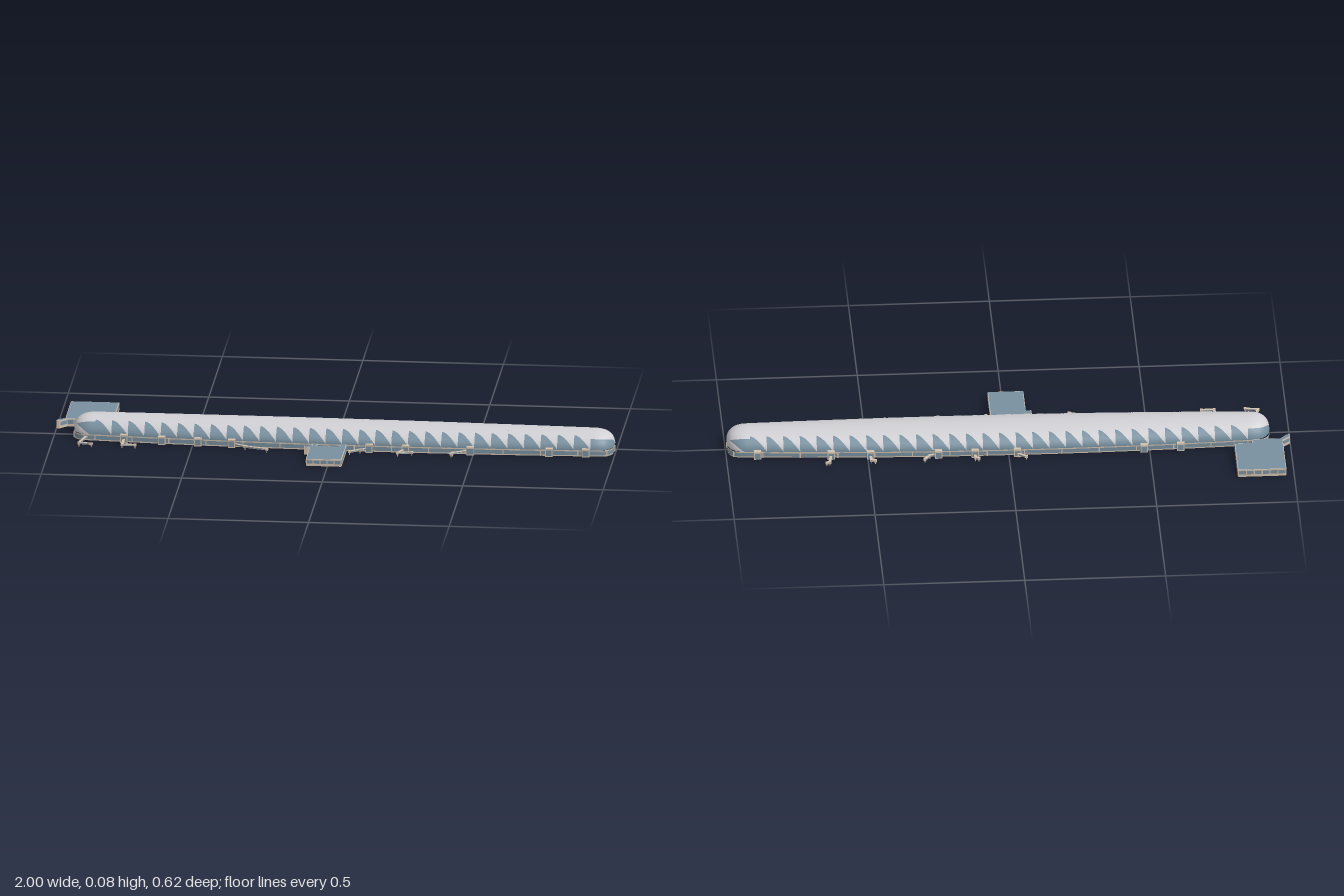
import * as THREE from 'three';
import { mergeGeometries } from 'three/addons/utils/BufferGeometryUtils.js';

const mat = (name, color, side = THREE.DoubleSide) => {
  const m = new THREE.MeshStandardMaterial({ color, side });
  m.name = name;
  return m;
};

// Hull dimensions
const XA = -0.85, XB = 0.915, CAP = 0.08, SILL = 0.022, RISE = 0.057;
const halfWidth = x => 0.077 + 0.03 * Math.max(0, 1 - ((x - 0.04) / 0.92) ** 2);
const axisZ = x => 0.004 + 0.0145 * x;

// v runs 0..1 along the body, below 0 and above 1 round the end caps; a is the arch angle
function hullPoint(v, a) {
  let x = XA + (XB - XA) * Math.min(1, Math.max(0, v)), s = 1;
  const w = halfWidth(x), z = axisZ(x);
  if (v < 0 || v > 1) {
    const t = Math.min(1, v < 0 ? -v : v - 1) * Math.PI / 2;
    s = Math.pow(Math.max(0, Math.cos(t)), 0.8);
    x += Math.sign(v) * CAP * Math.pow(Math.sin(t), 0.8);
  }
  return new THREE.Vector3(x, SILL + RISE * s * Math.sin(a), z + w * s * Math.cos(a));
}

function hullNormal(v, a) {
  const e = 0.004, lo = Math.max(-0.985, v - e), hi = Math.min(1.985, v + e);
  const vm = Math.min(1.98, Math.max(-0.98, v));
  const dv = hullPoint(Math.max(hi, lo + e), a).sub(hullPoint(lo, a));
  const da = hullPoint(vm, a + 0.01).sub(hullPoint(vm, a - 0.01));
  return da.cross(dv).normalize().negate();
}

// Strip of hull surface between two arch-angle curves
function patch(v0, v1, lo, hi, nu, na) {
  const pos = [], nor = [], idx = [];
  for (let i = 0; i <= nu; i++) {
    const u = i / nu, v = v0 + (v1 - v0) * u, a0 = lo(u), a1 = hi(u);
    for (let j = 0; j <= na; j++) {
      const a = a0 + (a1 - a0) * j / na;
      const n = hullNormal(v, a), p = hullPoint(v, a);
      if (n.dot(new THREE.Vector3(0, p.y - SILL + 0.001, p.z - axisZ(p.x))) < 0) n.negate();
      pos.push(...p.toArray());
      nor.push(...n.toArray());
      if (i < nu && j < na) {
        const k = i * (na + 1) + j, m = k + na + 1;
        idx.push(k, m, k + 1, k + 1, m, m + 1);
      }
    }
  }
  // wind outward: flip when the patch was traced backwards
  if (v1 > v0) for (let i = 0; i < idx.length; i += 3) [idx[i + 1], idx[i + 2]] = [idx[i + 2], idx[i + 1]];
  const g = new THREE.BufferGeometry();
  g.setAttribute('position', new THREE.Float32BufferAttribute(pos, 3));
  g.setAttribute('normal', new THREE.Float32BufferAttribute(nor, 3));
  g.setIndex(idx);
  const [A, B, C] = [idx[0], idx[1], idx[2]].map(k => new THREE.Vector3().fromArray(pos, k * 3));
  if (B.sub(A).cross(C.sub(A)).dot(new THREE.Vector3().fromArray(nor, idx[0] * 3)) < 0) g.setIndex(idx.slice().reverse());
  return g;
}

export function createModel() {
  const group = new THREE.Group();
  const shell = mat('roof shell', 0xd0d0d4), glass = mat('blue glass', 0x7890a0), trim = mat('beige trim', 0xd2c1ae);
  const add = (name, geos, material, parent = group) => {
    const m = new THREE.Mesh(geos.length ? mergeGeometries(geos) : geos, material);
    m.name = name;
    parent.add(m);
    return m;
  };
  const PI = Math.PI;

  // Hull body: saw-tooth windows along both sides, shell over the top
  const white = [], blue = [], TEETH = 30;
  const tooth = u => 0.04 + 0.9 * (1 - Math.pow(u, 1.6));
  for (let i = 0; i < TEETH; i++) {
    const v0 = i / TEETH, v1 = (i + 1) / TEETH;
    const front = tooth, back = u => PI - tooth(1 - u);
    blue.push(patch(v0, v1, () => 0, front, 7, 5), patch(v0, v1, back, () => PI, 7, 5));
    white.push(patch(v0, v1, front, back, 7, 14));
  }
  // End caps: one long window sweeps round the end, a short one points into it
  for (const [v0, v1, flip] of [[1, 2, false], [0, -1, true]]) {
    const band = (list, lo, hi, na) => list.push(flip
      ? patch(v0, v1, u => PI - hi(u), u => PI - lo(u), 20, na)
      : patch(v0, v1, lo, hi, 20, na));
    const sweep = u => 0.7 + 0.9 * u ** 3;
    const top = () => PI - 0.8, low = u => PI - 0.8 * Math.min(1, Math.max(0, (u - 0.1) / 0.55));
    band(blue, () => 0, sweep, 8);
    band(white, sweep, top, 12);
    band(blue, top, low, 5);
    band(white, low, () => PI, 5);
  }
  add('roofShell', white, shell);
  add('hullWindows', blue, glass);

  // Ground floor ring following the hull plan
  const plan = [];
  for (let i = 0; i <= 40; i++) {
    const x = XA + (XB - XA) * i / 40;
    plan.push([x, axisZ(x) + halfWidth(x)]);
  }
  const corner = (x, dir, from) => {
    for (let i = 1; i < 10; i++) {
      const t = from + (i / 10) * PI, s = Math.sin(t), c = Math.cos(t);
      plan.push([x + dir * CAP * Math.pow(Math.abs(c), 0.6), axisZ(x) + halfWidth(x) * Math.sign(s) * Math.pow(Math.abs(s), 0.6)]);
    }
  };
  corner(XB, 1, PI / 2);
  for (let i = 40; i >= 0; i--) {
    const x = XA + (XB - XA) * i / 40;
    plan.push([x, axisZ(x) - halfWidth(x)]);
  }
  corner(XA, -1, -PI / 2);
  const ribbon = (y0, y1, k) => {
    const pos = [], idx = [], n = plan.length;
    plan.forEach(([x, z], i) => {
      const zz = axisZ(x) + (z - axisZ(x)) * k, xx = 0.0325 + (x - 0.0325) * (1 + (k - 1) * 0.08);
      pos.push(xx, y0, zz, xx, y1, zz);
      const a = i * 2, b = ((i + 1) % n) * 2;
      idx.push(a, b, a + 1, a + 1, b, b + 1);
    });
    const g = new THREE.BufferGeometry();
    g.setAttribute('position', new THREE.Float32BufferAttribute(pos, 3));
    g.setIndex(idx);
    g.computeVertexNormals();
    return g;
  };
  add('groundFloorGlass', [ribbon(0.003, 0.02, 0.985)], glass);
  add('groundFloorBands', [ribbon(0, 0.004, 1), ribbon(0.018, 0.0225, 1)], trim);
  const posts = plan.filter((_, i) => i % 3 === 0).map(([x, z]) =>
    new THREE.BoxGeometry(0.004, 0.02, 0.004).translate(x, 0.01, axisZ(x) + (z - axisZ(x)) * 0.99));
  add('groundFloorPosts', posts, trim);

  // Box laid along a line on the ground plan
  const beam = ([x0, z0], [x1, z1], y, h, w) => new THREE.BoxGeometry(Math.hypot(x1 - x0, z1 - z0), h, w)
    .rotateY(-Math.atan2(z1 - z0, x1 - x0)).translate((x0 + x1) / 2, y, (z0 + z1) / 2);

  // Gate houses on both sides
  const houses = [], houseGlass = [];
  const gates = { 1: [-0.745, -0.61, -0.48, -0.36, 0.13, 0.26, 0.49, 0.77, 0.9], '-1': [-0.61, -0.48, -0.03, 0.12, 0.25, 0.49, 0.63, 0.89] };
  for (const side of [1, -1]) for (const x of gates[side]) {
    const z = axisZ(x) + side * (halfWidth(x) + 0.002);
    houses.push(new THREE.BoxGeometry(0.026, 0.03, 0.026).translate(x, 0.015, z));
    houseGlass.push(new THREE.BoxGeometry(0.028, 0.02, 0.02).translate(x, 0.014, z),
      new THREE.BoxGeometry(0.02, 0.02, 0.028).translate(x, 0.014, z));
  }
  add('gateHouses', houses, trim);
  add('gateHouseWindows', houseGlass, glass);

  // Bent boarding bridges on legs
  const bridges = [], bridgeGlass = [];
  for (const path of [
    [[-0.88, 0.065], [-0.9, 0.145], [-0.855, 0.153]], [[-0.745, 0.085], [-0.745, 0.153], [-0.7, 0.153]],
    [[-0.36, 0.1], [-0.31, 0.135], [-0.23, 0.16]], [[0.13, 0.115], [0.1, 0.135], [0.065, 0.162]],
    [[0.26, 0.11], [0.235, 0.163], [0.285, 0.15]], [[0.49, 0.105], [0.43, 0.143], [0.425, 0.158]],
    [[-0.02, -0.1], [-0.035, -0.12], [-0.06, -0.138]], [[0.12, -0.1], [0.12, -0.138], [0.108, -0.14]],
    [[0.25, -0.1], [0.28, -0.11], [0.3, -0.135]], [[0.49, -0.1], [0.49, -0.13], [0.475, -0.136]],
    [[0.63, -0.09], [0.637, -0.135], [0.648, -0.14]]]) {
    for (let i = 0; i < 2; i++) {
      bridges.push(beam(path[i], path[i + 1], 0.0125, 0.006, 0.009));
      bridgeGlass.push(beam(path[i], path[i + 1], 0.0125, 0.003, 0.0098));
      const [x, z] = path[i + 1];
      bridges.push(new THREE.BoxGeometry(0.01, 0.008, 0.01).translate(x, 0.0125, z),
        new THREE.BoxGeometry(0.003, 0.012, 0.003).translate(x, 0.006, z));
    }
  }
  add('boardingBridges', bridges, trim);
  add('boardingBridgeWindows', bridgeGlass, glass);

  // Flat-roofed annexes: open-bottomed walls with window rows
  function annex(name, pts, h) {
    const g = new THREE.Group();
    g.name = name;
    const walls = [], wins = [];
    pts.forEach((p, i) => {
      const q = pts[(i + 1) % pts.length], len = Math.hypot(q[0] - p[0], q[1] - p[1]);
      walls.push(beam(p, q, h / 2, h, 0.004));
      const n = Math.floor(len / 0.024), at = t => [p[0] + (q[0] - p[0]) * t, p[1] + (q[1] - p[1]) * t];
      for (let k = 0; k < n; k++) wins.push(beam(at((k + 0.08) / n), at((k + 0.92) / n), h * 0.6, h * 0.48, 0.0055));
    });
    add('walls', walls, trim, g);
    add('windows', wins, glass, g);
    const roof = new THREE.ShapeGeometry(new THREE.Shape(pts.map(([x, z]) => new THREE.Vector2(x, -z))));
    add('roof', [roof.rotateX(-PI / 2).translate(0, h + 0.0005, 0)], glass, g);
    group.add(g);
  }
  annex('rearAnnex', [[-0.97, -0.308], [-0.802, -0.308], [-0.802, -0.12], [-0.865, -0.12], [-0.865, -0.095],
    [-0.965, -0.095], [-0.99, -0.067], [-0.998, -0.067], [-0.998, -0.08], [-0.97, -0.105]], 0.028);
  annex('frontAnnex', [[-0.075, 0.306], [0.048, 0.306], [0.048, 0.115], [0.03, 0.115], [0.03, 0.145], [-0.055, 0.145],
    [-0.055, 0.115], [-0.068, 0.115], [-0.068, 0.145], [-0.095, 0.145], [-0.095, 0.167], [-0.075, 0.167]], 0.025);
  return group;
}
